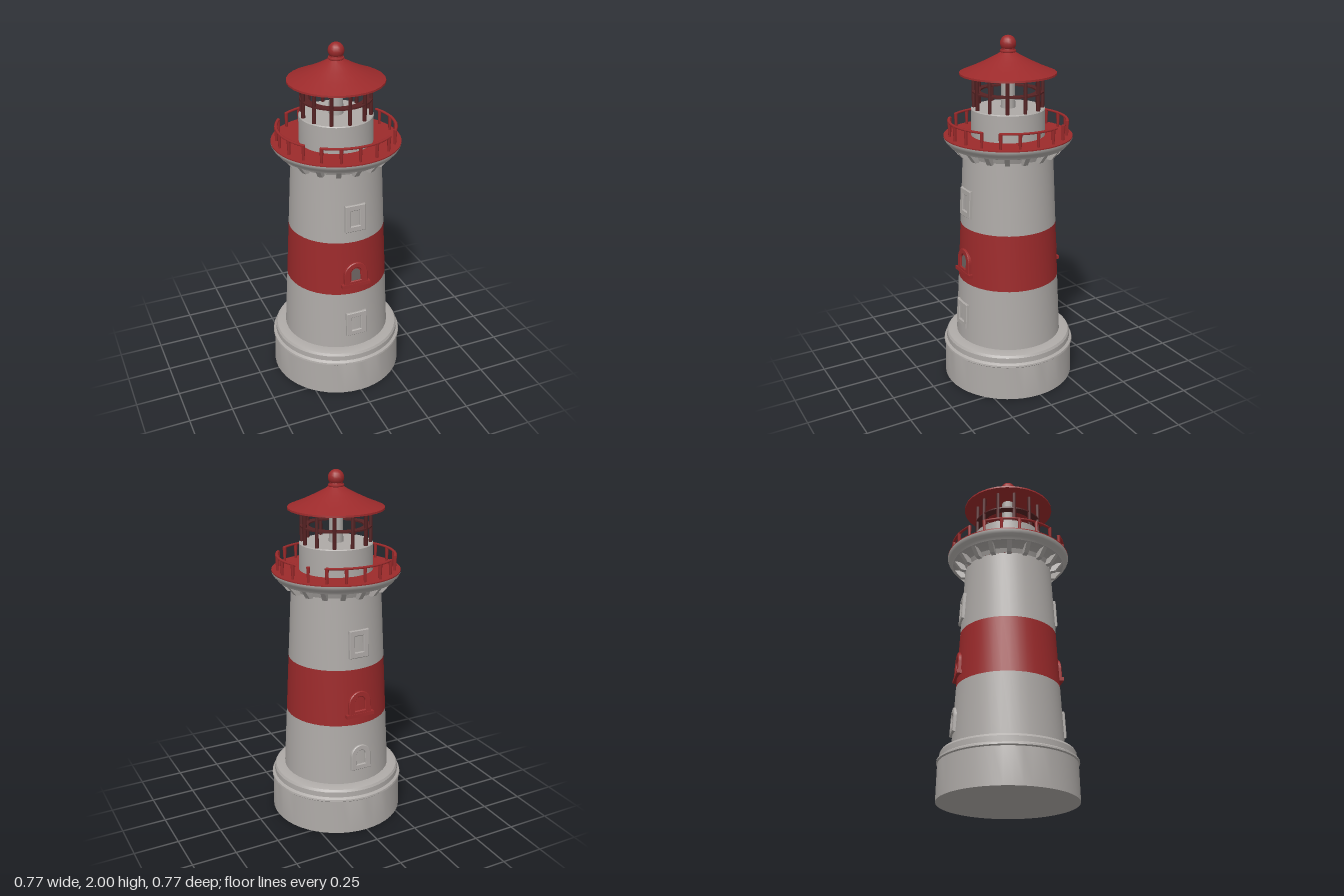
import * as THREE from 'three';
import { toCreasedNormals } from 'three/addons/utils/BufferGeometryUtils.js';

export function createModel() {
  const model = new THREE.Group();
  model.name = 'lighthouse';
  const stone = new THREE.MeshStandardMaterial({ name: 'stone grey', color: 0xaeaaa7 });
  const red = new THREE.MeshStandardMaterial({ name: 'brick red', color: 0x9c2a2b });
  const maroon = new THREE.MeshStandardMaterial({ name: 'dark maroon', color: 0x562223 });
  const glass = new THREE.MeshStandardMaterial({ name: 'window grey', color: 0x6e6461 });
  const rad = THREE.MathUtils.degToRad;

  function add(name, geometry, material, parent = model) {
    const mesh = new THREE.Mesh(geometry, material);
    mesh.name = name;
    parent.add(mesh);
    return mesh;
  }
  // Turned part from a [radius, height] profile, listed bottom to top
  function turned(name, profile, material, sides = 40) {
    const points = profile.map(([r, y]) => new THREE.Vector2(r, y));
    return add(name, toCreasedNormals(new THREE.LatheGeometry(points, sides), 0.5), material);
  }
  // Place a part on a circle; angles run from +x towards +z
  function onCircle(mesh, degrees, radius, y) {
    const a = rad(degrees);
    mesh.position.set(Math.cos(a) * radius, y, Math.sin(a) * radius);
    mesh.rotation.y = -a;
    return mesh;
  }
  // Handrail following part of a circle, slightly flattened
  function handrail(from, to, parent) {
    const g = new THREE.TorusGeometry(0.325, 0.0095, 6, Math.ceil((to - from) / 5), rad(to - from));
    g.rotateX(Math.PI / 2).scale(1, 0.65, 1);
    const mesh = add('handrail', g, red, parent);
    mesh.position.y = 1.541;
    mesh.rotation.y = -rad(from);
  }

  // Plinth with rounded lip
  turned('plinth', [[0, 0], [0.38, 0], [0.376, 0.2], [0.383, 0.206], [0.381, 0.216], [0.367, 0.225],
    [0.366, 0.255], [0.358, 0.268], [0.335, 0.276], [0.29, 0.276]], stone, 48);

  // Tapered tower in three bands
  const towerRadius = (y) => 0.306 - 0.05 * (y - 0.275);
  const band = (name, y0, y1, material) =>
    turned(name, [[towerRadius(y0), y0], [towerRadius(y1), y1]], material);
  band('lowerTower', 0.27, 0.63, stone);
  band('redBand', 0.63, 0.955, red);
  band('upperTower', 0.955, 1.36, stone);

  // Gallery slab, its floor and the corbels beneath
  turned('gallerySlab', [[0.252, 1.36], [0.262, 1.385], [0.29, 1.402], [0.325, 1.405], [0.334, 1.42],
    [0.348, 1.432], [0.357, 1.45], [0.357, 1.454]], stone, 48);
  add('galleryFloor', new THREE.CylinderGeometry(0.357, 0.357, 0.006, 48), red).position.y = 1.457;

  const corbelShape = new THREE.Shape();
  corbelShape.moveTo(-0.03, -0.05);
  corbelShape.lineTo(0.012, -0.045);
  corbelShape.lineTo(0.032, -0.02);
  corbelShape.lineTo(0.058, 0.012);
  corbelShape.lineTo(-0.03, 0.012);
  const corbelGeometry = new THREE.ExtrudeGeometry(corbelShape, { depth: 0.026, bevelEnabled: false });
  corbelGeometry.translate(0, 0, -0.013);
  for (let i = 0; i < 18; i++) {
    onCircle(add('corbel', corbelGeometry, stone), 90 + i * 20, 0.268, 1.4);
  }

  // Railing in four sections; the +x section is broken off short
  const postGeometry = new THREE.CylinderGeometry(0.011, 0.007, 0.088, 6);
  for (const middle of [0, 90, 180, 270]) {
    const railing = new THREE.Group();
    railing.name = 'railing';
    model.add(railing);
    handrail(middle + (middle === 0 ? -23 : -37), middle + 37, railing);
    for (const offset of [-36, -18, 0, 18, 36]) {
      onCircle(add('railingPost', postGeometry, red, railing), middle + offset, 0.325, 1.499);
    }
  }

  // Lantern room: drum, lamp column, glazing bars and a thin flat ring between them
  turned('lanternDrum', [[0.205, 1.45], [0.203, 1.605], [0.198, 1.61], [0, 1.61]], stone, 32);
  add('lampColumn', new THREE.CylinderGeometry(0.036, 0.04, 0.25, 12), stone).position.y = 1.73;
  const barGeometry = new THREE.CylinderGeometry(0.011, 0.011, 0.2, 6);
  for (let i = 0; i < 12; i++) {
    onCircle(add('lanternBar', barGeometry, maroon), i * 30, 0.188, 1.704);
  }
  turned('lanternRing', [[0.15, 1.696], [0.196, 1.696], [0.196, 1.704], [0.15, 1.704], [0.15, 1.696]], maroon, 36);

  // Roof, hollow underneath, and ball finial
  turned('roof', [[0, 1.86], [0.255, 1.791], [0.265, 1.793], [0.264, 1.803], [0.19, 1.833], [0.12, 1.866],
    [0.06, 1.898], [0.038, 1.912], [0.035, 1.935]], red, 28);
  const collar = add('finialCollar', new THREE.TorusGeometry(0.036, 0.009, 6, 16), red);
  collar.rotation.x = Math.PI / 2;
  collar.position.y = 1.916;
  add('finialBall', new THREE.SphereGeometry(0.044, 14, 10), red).position.y = 1.956;

  // Window outline, optionally with a round head
  function outline(path, w, h, arched) {
    path.moveTo(-w / 2, -h / 2);
    path.lineTo(w / 2, -h / 2);
    if (arched) {
      path.lineTo(w / 2, h / 2 - w / 2);
      path.absarc(0, h / 2 - w / 2, w / 2, 0, Math.PI, false);
    } else {
      path.lineTo(w / 2, h / 2);
      path.lineTo(-w / 2, h / 2);
    }
    path.closePath();
    return path;
  }
  // Raised window surround on the tower wall
  function addWindow(parent, y, w, h, arched, material) {
    const window = new THREE.Group();
    window.name = 'window';
    window.position.set(0, y, towerRadius(y));
    window.rotation.x = -0.05;
    parent.add(window);
    const shape = outline(new THREE.Shape(), w, h, arched);
    shape.holes.push(outline(new THREE.Path(), w * 0.55, h * 0.66, arched));
    const frame = new THREE.ExtrudeGeometry(shape, {
      depth: 0.026, bevelSize: 0.004, bevelThickness: 0.004, bevelSegments: 1, curveSegments: 10,
    });
    add('windowFrame', frame, material, window).position.z = -0.02;
    return window;
  }
  for (const turn of [0, Math.PI]) {
    const side = new THREE.Group();
    side.name = turn ? 'backWindows' : 'frontWindows';
    side.rotation.y = turn;
    model.add(side);
    addWindow(side, 1.1, 0.11, 0.15, false, stone);
    addWindow(side, 0.43, 0.115, 0.14, turn > 0, stone);
    const middle = addWindow(side, 0.755, 0.13, 0.135, true, red);
    add('windowSill', new THREE.BoxGeometry(0.17, 0.02, 0.046), red, middle).position.set(0, -0.0675, -0.01);
    // Only the front arched window is glazed
    if (!turn) {
      const pane = new THREE.ShapeGeometry(outline(new THREE.Shape(), 0.054, 0.075, true));
      add('windowPane', pane, glass, middle).position.set(0, -0.005, 0.003);
    }
  }

  return model;
}
